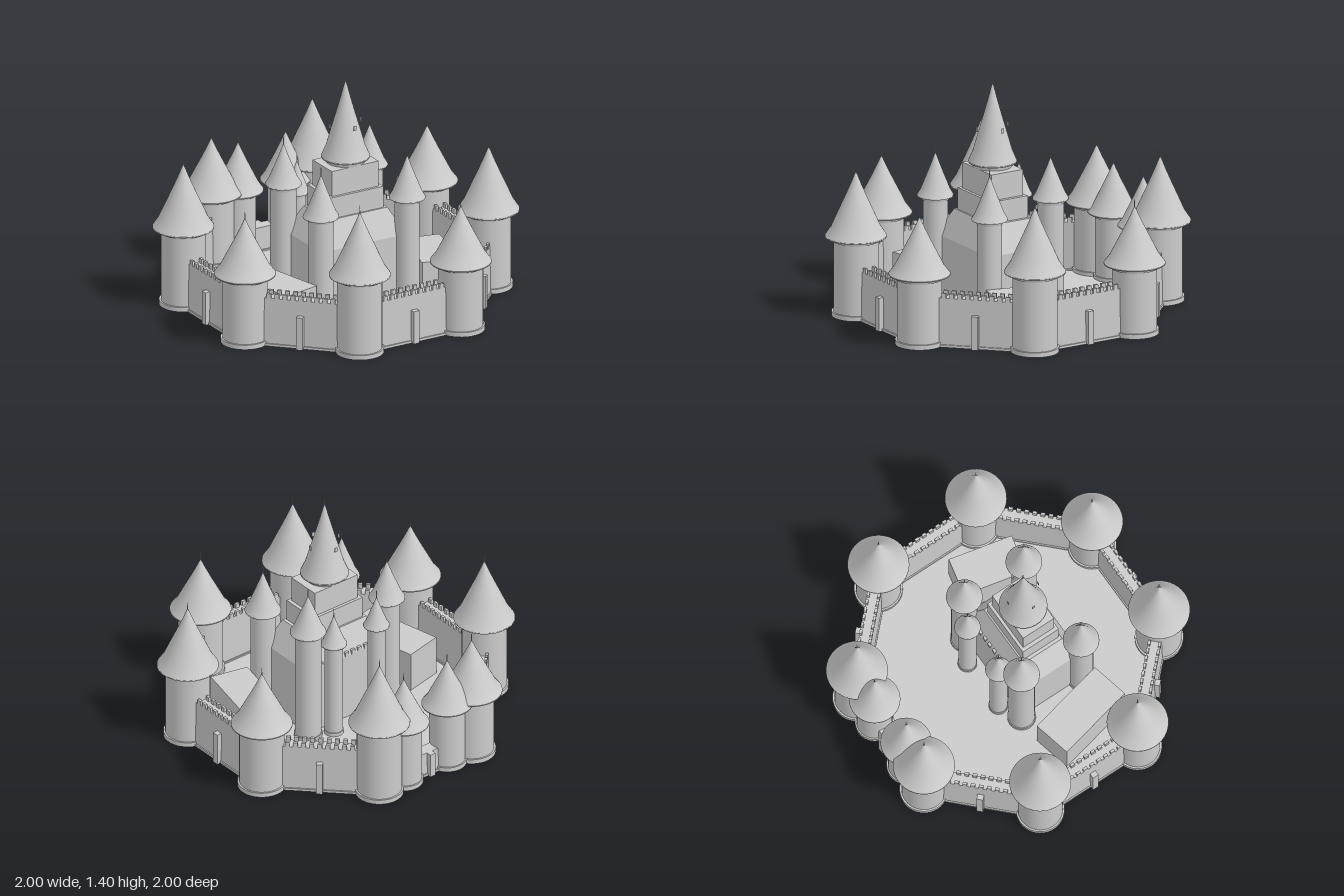
import * as THREE from 'three';

const mat = new THREE.MeshStandardMaterial({ color: 0xcccccc });
const thin = new THREE.MeshStandardMaterial({ color: 0xcccccc, side: THREE.DoubleSide });

function add(parent, name, geo, x = 0, y = 0, z = 0, material = mat) {
  const m = new THREE.Mesh(geo, material);
  m.name = name;
  m.position.set(x, y, z);
  parent.add(m);
  return m;
}

// Box standing on y; its top may be narrower than its base
function block(parent, name, w, h, d, x, y, z, topW = w, topD = d) {
  let g = new THREE.BoxGeometry(w, h, d).translate(0, h / 2, 0);
  const p = g.attributes.position;
  for (let i = 0; i < p.count; i++) {
    if (p.getY(i) > h / 2) {
      p.setX(i, p.getX(i) * topW / w);
      p.setZ(i, p.getZ(i) * topD / d);
    }
  }
  g.computeVertexNormals();
  return add(parent, name, g, x, y, z);
}

// Slightly flared conical roof with a closed eave and a finial
function roof(parent, R, eave, tip, spike) {
  const shape = [[0, 0], [1, 0], [1, 0.01], [0.81, 0.145], [0.61, 0.355], [0.375, 0.6], [0.19, 0.8], [0.02, 1]];
  const pts = shape.map(([r, t]) => new THREE.Vector2(r * R, eave + t * (tip - eave)));
  // underside kept separate so the eave edge stays crisp
  add(parent, 'roof', new THREE.LatheGeometry(pts.slice(2), 40));
  add(parent, 'eave', new THREE.CylinderGeometry(R, R, 0.006, 40), 0, eave, 0);
  add(parent, 'finial', new THREE.CylinderGeometry(0.002, 0.004, spike + 0.03, 8), 0, tip + spike / 2 - 0.015, 0);
}

function tower(parent, name, x, z, r, R, eave, tip, spike = 0.045) {
  const t = new THREE.Group();
  t.name = name;
  t.position.set(x, 0, z);
  add(t, 'plinth', new THREE.CylinderGeometry(r * 1.08, r * 1.08, 0.028, 40), 0, 0.014, 0);
  add(t, 'shaft', new THREE.CylinderGeometry(r, r, eave, 40), 0, eave / 2, 0);
  add(t, 'collar', new THREE.CylinderGeometry(r * 1.12, r * 1.06, 0.025, 40), 0, eave - 0.0125, 0);
  roof(t, R, eave, tip, spike);
  parent.add(t);
}

// Row of merlons along local x
function merlons(parent, count, length, y, z, depth) {
  const step = length / count;
  for (let i = 0; i < count; i++) {
    block(parent, 'merlon', step * 0.55, 0.028, depth, (i + 0.5) * step - length / 2, y, z);
  }
}

// Curtain wall facing local +z
function wall(parent, name, x, z, angle, length, height, crenellated) {
  const w = new THREE.Group();
  w.name = name;
  w.position.set(x, 0, z);
  w.rotation.y = angle;
  block(w, 'wallBody', length, height, 0.085, 0, 0, 0, length, 0.075);
  block(w, 'wallFooting', length, 0.015, 0.1, 0, 0, 0);
  block(w, 'buttress', 0.038, Math.min(0.2, height), 0.045, 0, 0, 0.048);
  if (crenellated) {
    for (const side of [-1, 1]) merlons(w, 11, 0.52, height, side * 0.031, 0.016);
  }
  parent.add(w);
}

// Rectangle corners on the ground, turned about y
function corners(x, z, w, d, turn) {
  return [[-1, -1], [1, -1], [1, 1], [-1, 1]].map(([a, b]) => {
    const v = new THREE.Vector3(a * w / 2, 0, b * d / 2).applyAxisAngle(new THREE.Vector3(0, 1, 0), turn);
    return new THREE.Vector2(v.x + x, -(v.z + z));
  });
}

// Hall open at the bottom
function hall(parent, name, x, z, w, d, h, turn) {
  const g = new THREE.BoxGeometry(w, h, d);
  const index = Array.from(g.index.array);
  index.splice(18, 6); // drop the bottom face
  g.setIndex(index);
  add(parent, name, g, x, h / 2, z, thin).rotation.y = turn;
}

export function createModel() {
  const castle = new THREE.Group();
  castle.name = 'castle';

  // Outer ring: alternating tall and short towers joined by walls
  const ring = new THREE.Group();
  ring.name = 'outerRing';
  castle.add(ring);
  const rad = Math.hypot(0.82, 0.34);
  const outline = [];
  for (let i = 0; i < 8; i++) {
    const a = Math.PI / 8 + i * Math.PI / 4;
    const x = rad * Math.sin(a), z = rad * Math.cos(a);
    outline.push(new THREE.Vector2(x, -z));
    const s = i % 2 ? 1 : 0.88;
    tower(ring, 'ringTower', x, z, 0.13, 0.178, 0.475 * s, 0.855 * s);
    const b = i * Math.PI / 4;
    const back = i === 4;
    wall(ring, back ? 'gateWall' : 'curtainWall', 0.82 * Math.sin(b), 0.82 * Math.cos(b), b, 0.66, back ? 0.15 : 0.292, !back);
  }

  // Twin gate towers at the back
  for (const s of [-1, 1]) tower(ring, 'gateTower', s * 0.16, -0.82, 0.105, 0.148, 0.4, 0.69);

  // Courtyard floor, open below the halls and the keep
  const halls = [[-0.52, 0.15, 0.235, 0.49, 0.22], [0.51, 0.21, 0.235, 0.39, -0.22]];
  const floor = new THREE.Shape(outline);
  for (const h of [...halls, [0, 0.105, 0.57, 0.41, 0]]) floor.holes.push(new THREE.Path(corners(...h)));
  add(castle, 'courtyard', new THREE.ShapeGeometry(floor).rotateX(-Math.PI / 2), 0, 0.006, 0, thin);
  for (const [x, z, w, d, turn] of halls) hall(castle, 'sideHall', x, z, w, d, 0.25, turn);

  // Keep: broad base, sloping shoulder, two upper storeys and a spire
  const keep = new THREE.Group();
  keep.name = 'keep';
  castle.add(keep);
  hall(keep, 'keepBase', 0, 0.105, 0.57, 0.41, 0.42, 0);
  block(keep, 'keepShoulder', 0.57, 0.16, 0.41, 0, 0.42, 0.105, 0.4, 0.27);
  block(keep, 'lowerStorey', 0.36, 0.13, 0.25, 0, 0.58, 0.105);
  block(keep, 'upperStorey', 0.315, 0.155, 0.215, 0, 0.71, 0.105);
  const rear = new THREE.Group();
  rear.name = 'rearParapet';
  rear.position.set(0, 0, -0.095);
  merlons(rear, 9, 0.42, 0.42, 0, 0.016);
  keep.add(rear);

  const spire = new THREE.Group();
  spire.name = 'spire';
  spire.position.set(0, 0, 0.105);
  keep.add(spire);
  add(spire, 'spireCollar', new THREE.CylinderGeometry(0.118, 0.112, 0.03, 40), 0, 0.878, 0);
  roof(spire, 0.14, 0.893, 1.36, 0.04);
  // Small vanes standing off the spire
  for (let i = 0; i < 4; i++) {
    const a = i * Math.PI / 2;
    const vane = block(spire, 'vane', 0.018, 0.028, 0.003, 0.105 * Math.sin(a), 1.085, 0.105 * Math.cos(a));
    vane.rotation.y = a;
  }

  // Turrets around the keep
  for (const s of [-1, 1]) {
    tower(keep, 'rearTurret', s * 0.29, -0.105, 0.076, 0.105, 0.71, 0.955);
    tower(keep, 'frontTurret', s * 0.29, 0.31, 0.072, 0.105, 0.65, 0.905);
    tower(keep, 'smallTurret', s * 0.157, -0.175, 0.052, 0.076, 0.61, 0.8);
  }
  return castle;
}
